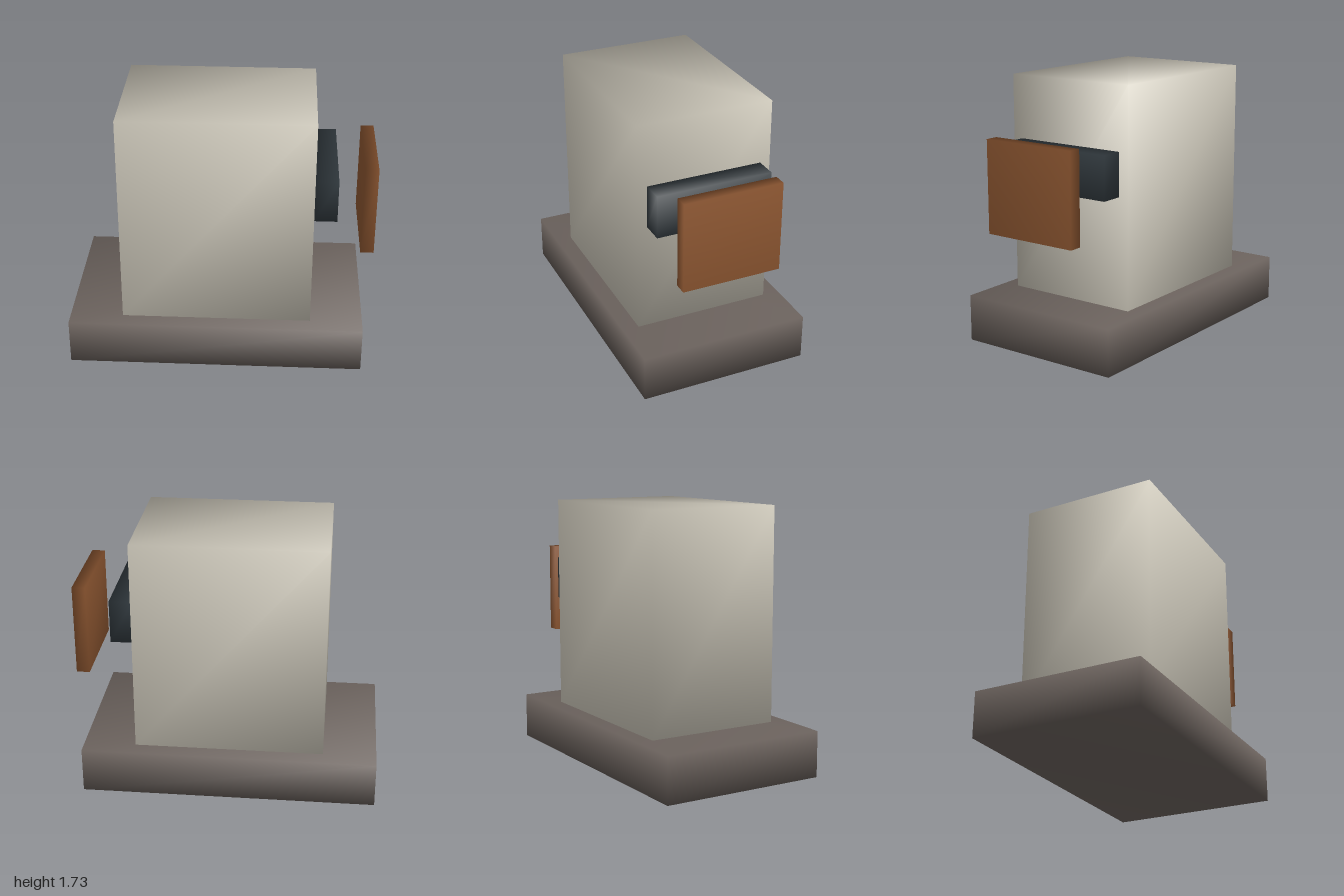
import * as THREE from 'three';
import { mergeVertices } from 'three/addons/utils/BufferGeometryUtils.js';

// Box given by its x, y and z ranges, with normals blended across shared corners.
function softBox(name, color, [x0, x1], [y0, y1], [z0, z1]) {
  const box = new THREE.BoxGeometry(x1 - x0, y1 - y0, z1 - z0);
  box.deleteAttribute('normal');
  box.deleteAttribute('uv');
  const geometry = mergeVertices(box);
  geometry.clearGroups();
  geometry.computeVertexNormals();
  geometry.translate((x0 + x1) / 2, (y0 + y1) / 2, (z0 + z1) / 2);
  const mesh = new THREE.Mesh(geometry, new THREE.MeshStandardMaterial({ color }));
  mesh.name = name;
  return mesh;
}

export function createModel() {
  const model = new THREE.Group();
  model.name = 'model';
  model.add(
    // Wide plinth and the tall block standing on it
    softBox('base', 0x6b625d, [-1, 0.945], [0, 0.305], [-0.565, 0.565]),
    softBox('body', 0xd0cbbd, [-0.65, 0.6], [0.305, 1.73], [-0.457, 0.457]),
    // Dark bar on the side, with a separate panel in front of it
    softBox('sideBar', 0x30383d, [0.6, 0.75], [1.03, 1.315], [-0.39, 0.39]),
    softBox('sidePanel', 0x8b5530, [0.913, 1], [0.77, 1.375], [-0.33, 0.33]),
  );
  return model;
}
